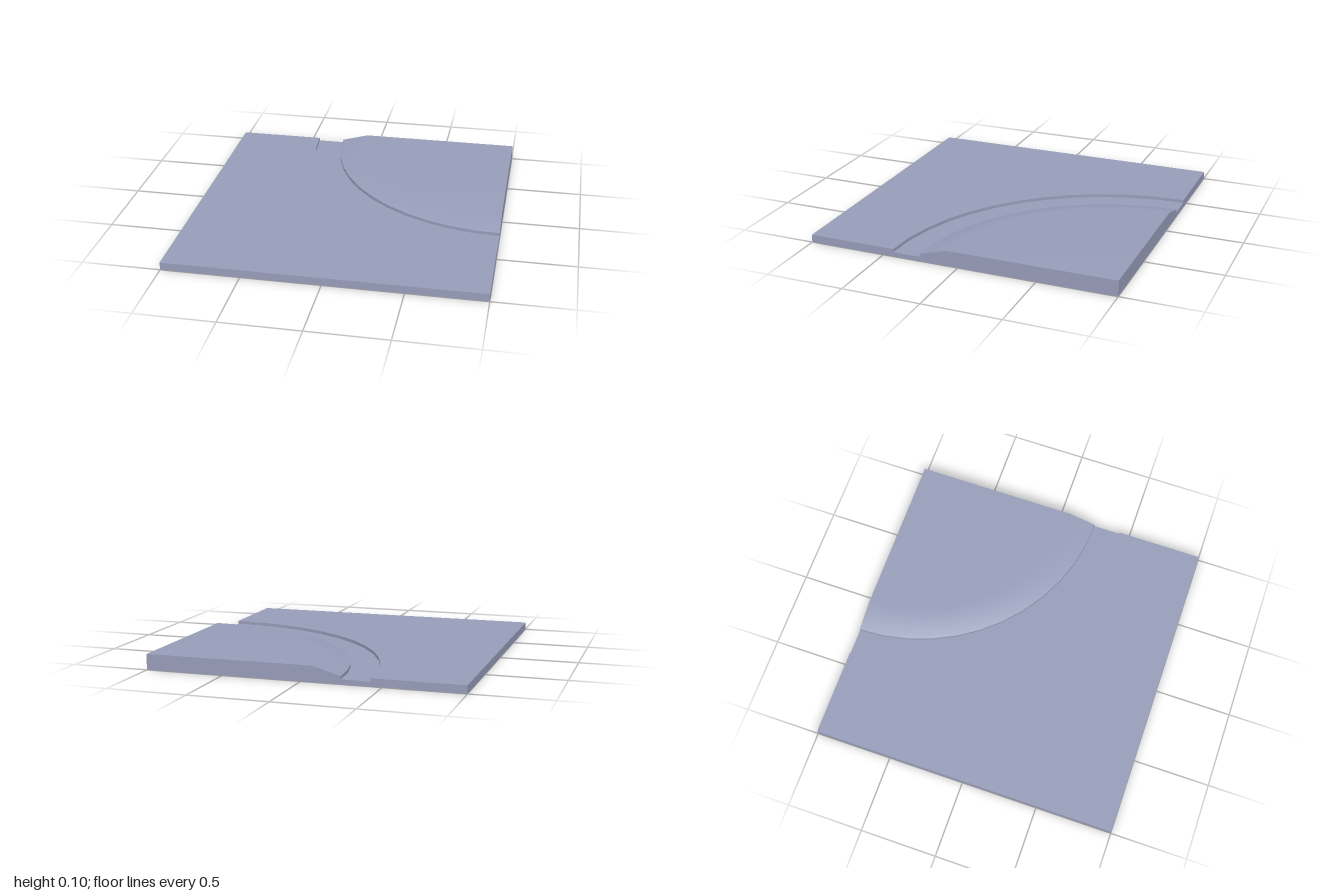
import * as THREE from 'three';

const FLOOR = 0.03, GROUND = 0.05, TOP = 0.1;      // heights
const R_OUT = 1.43, R_IN = 1.25, R_TOP = 1.07;     // radii about the back left corner
const STEPS = 12;

export function createModel() {
  const group = new THREE.Group();
  const stone = new THREE.MeshStandardMaterial({ color: 0x969cb8 });
  stone.name = 'blueGreyGround';

  const add = (name, geometry, x = 0, y = 0, z = 0) => {
    const mesh = new THREE.Mesh(geometry, stone);
    mesh.name = name;
    mesh.position.set(x, y, z);
    group.add(mesh);
  };

  // Base slab; its top is the floor of the curved channel
  add('baseSlab', new THREE.BoxGeometry(2, FLOOR, 2), 0, FLOOR / 2, 0);

  // Raised ground outside the channel
  const outline = [[-1, 1], [-1, -1], [1, -1]].map(([x, y]) => new THREE.Vector2(x, y));
  for (let i = STEPS; i >= 0; i--) {
    const a = Math.PI + (i / STEPS) * Math.PI / 2;
    outline.push(new THREE.Vector2(1 + R_OUT * Math.cos(a), 1 + R_OUT * Math.sin(a)));
  }
  const ground = new THREE.ExtrudeGeometry(new THREE.Shape(outline), {
    depth: GROUND - FLOOR, bevelEnabled: false,
  });
  add('outerGround', ground.rotateX(-Math.PI / 2), 0, FLOOR, 0);

  // Quarter-round hill: channel wall, then smooth slope and plateau
  const quarter = (profile) => new THREE.LatheGeometry(
    profile.map(([r, y]) => new THREE.Vector2(r, y)), STEPS, -Math.PI / 2, Math.PI / 2);
  add('innerChannelWall', quarter([[R_IN, FLOOR], [R_IN, GROUND]]), 1, 0, -1);
  add('hillTop', quarter([[R_IN, GROUND], [R_TOP, TOP], [0, TOP]]), 1, 0, -1);

  // Flat cut faces of the hill along the two tile edges
  const section = (side) => new THREE.ShapeGeometry(new THREE.Shape(
    [[0, FLOOR], [R_IN, FLOOR], [R_IN, GROUND], [R_TOP, TOP], [0, TOP]]
      .map(([r, y]) => new THREE.Vector2(side * r, y))));
  add('hillBackFace', section(1).rotateY(Math.PI), 1, 0, -1);
  add('hillSideFace', section(-1).rotateY(Math.PI / 2), 1, 0, -1);

  return group;
}
